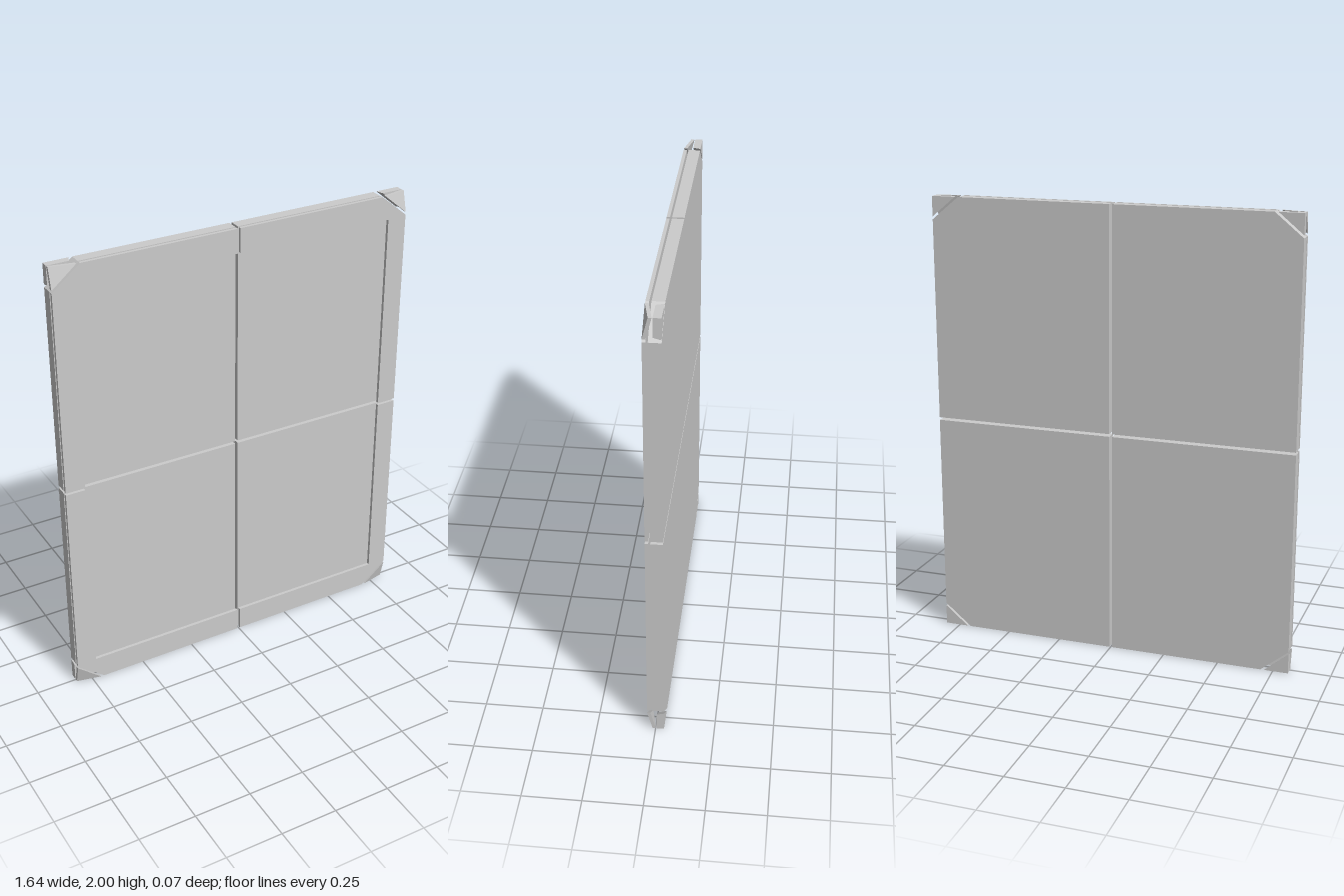
import * as THREE from 'three';

const W = 0.818, H = 1, GAP = 0.006;   // half width, half height, half seam
const CX = 0.703, CY = 0.905;          // where the corner cut meets the edges
const IX = 0.73, IY = 0.893;           // inner edge of the raised border

const material = new THREE.MeshStandardMaterial({ color: 0xcccccc, flatShading: true });

// Flat plate: outline in one quadrant, mirrored by sx and sy, between two depths.
// bend optionally moves each vertex, given in unmirrored coordinates.
function plate(name, points, z0, z1, sx, sy, bend) {
  const shape = new THREE.Shape(points.map(([x, y]) => new THREE.Vector2(x * sx, y * sy)));
  const geometry = new THREE.ExtrudeGeometry(shape, { depth: z1 - z0, bevelEnabled: false });
  geometry.translate(0, 0, z0);
  if (bend) {
    const position = geometry.attributes.position;
    for (let i = 0; i < position.count; i++) {
      const v = new THREE.Vector3(position.getX(i) * sx, position.getY(i) * sy, position.getZ(i));
      bend(v);
      position.setXYZ(i, v.x * sx, v.y * sy, v.z);
    }
    geometry.computeVertexNormals();
  }
  geometry.translate(0, H, 0);
  const mesh = new THREE.Mesh(geometry, material);
  mesh.name = name;
  return mesh;
}

// The cut side of the back corner leans outwards towards the front
function leanCut(v) {
  if (v.z < -0.02) return;
  v.x = W + (v.x - W) * 0.9;
  v.y = H + (v.y - H) * 0.9;
}

// The front corner sheet droops backwards at its tip
function droopTip(v) {
  if (v.x > W - 0.01 && v.y > H - 0.01) v.z -= 0.023;
}

export function createModel() {
  const group = new THREE.Group();
  group.name = 'panel';

  // Quarter of the board with its outer corner cut off
  const quarter = [[GAP, GAP], [W, GAP], [W, CY - 0.006], [CX - 0.008, H], [GAP, H]];
  // L-shaped border floating just in front of the board
  const border = [[IX, GAP], [W, GAP], [W, CY - 0.006], [CX - 0.008, H],
    [GAP, H], [GAP, IY], [IX, IY]];
  // Loose triangle filling the cut corner
  const corner = [[W, CY + 0.006], [W, H], [CX + 0.008, H]];

  for (const sx of [-1, 1]) for (const sy of [-1, 1]) {
    const section = new THREE.Group();
    section.name = `${sy > 0 ? 'upper' : 'lower'}${sx > 0 ? 'Left' : 'Right'}Section`;
    section.add(
      plate('backBoard', quarter, -0.036, 0.014, sx, sy),
      plate('frontBorder', border, 0.022, 0.036, sx, sy),
      plate('backCorner', corner, -0.036, -0.004, sx, sy, leanCut),
      plate('frontCorner', corner, 0.022, 0.036, sx, sy, droopTip),
    );
    group.add(section);
  }
  return group;
}
